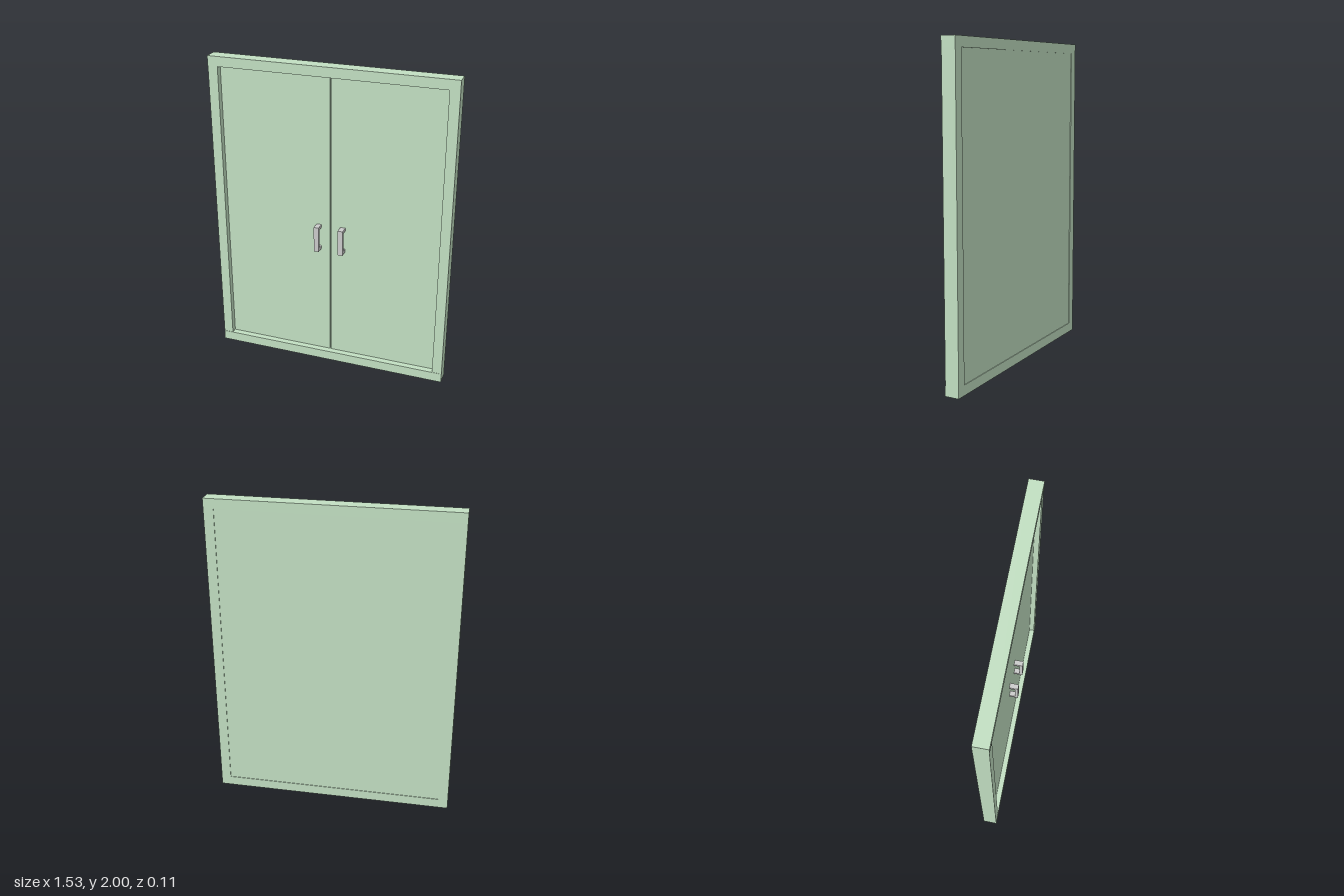
import * as THREE from 'three';

const green = new THREE.MeshStandardMaterial({ color: 0xc2dfc2 });
const grey = new THREE.MeshStandardMaterial({ color: 0xcccccc });

// Box given by its lower and upper limits on each axis
function box(parent, name, [x0, x1], [y0, y1], [z0, z1], material = green) {
  const mesh = new THREE.Mesh(new THREE.BoxGeometry(x1 - x0, y1 - y0, z1 - z0), material);
  mesh.position.set((x0 + x1) / 2, (y0 + y1) / 2, (z0 + z1) / 2);
  mesh.name = name;
  parent.add(mesh);
  return mesh;
}

// C-shaped pull: a flat grip on two short posts
function makeHandle(name, x, doorFront) {
  const handle = new THREE.Group();
  handle.name = name;
  const width = [x - 0.016, x + 0.016];
  const bottom = 0.813, top = 0.98, post = 0.02;
  box(handle, 'grip', width, [bottom, top], [0.035, 0.055], grey);
  box(handle, 'lowerPost', width, [bottom, bottom + post], [doorFront, 0.035], grey);
  box(handle, 'upperPost', width, [top - post, top], [doorFront, 0.035], grey);
  return handle;
}

export function createModel() {
  const model = new THREE.Group();
  model.name = 'doubleDoor';
  const W = 0.765, H = 2, rim = 0.062, back = -0.055, front = 0.035;
  const doorFront = 0, gap = 0.003;

  // Frame: full-width rails, with jambs set a hair behind them
  box(model, 'bottomRail', [-W, W], [0, rim], [back, front]);
  box(model, 'topRail', [-W, W], [H - rim, H], [back, front]);
  box(model, 'rightJamb', [-W, -W + rim], [rim, H - rim], [back, front - 0.002]);
  box(model, 'leftJamb', [W - rim, W], [rim, H - rim], [back, front - 0.002]);

  // Back panel, slightly recessed, closes the frame
  box(model, 'backPanel', [-W + rim, W - rim], [rim, H - rim], [back + 0.004, back + 0.016]);

  // Door leaves with a narrow gap all round
  const inner = W - rim - gap;
  const doorY = [rim + gap, H - rim - gap], doorZ = [back + 0.016, doorFront];
  box(model, 'rightDoor', [-inner, -gap], doorY, doorZ);
  box(model, 'leftDoor', [gap, inner], doorY, doorZ);

  model.add(makeHandle('rightHandle', -0.075, doorFront));
  model.add(makeHandle('leftHandle', 0.082, doorFront));
  return model;
}
